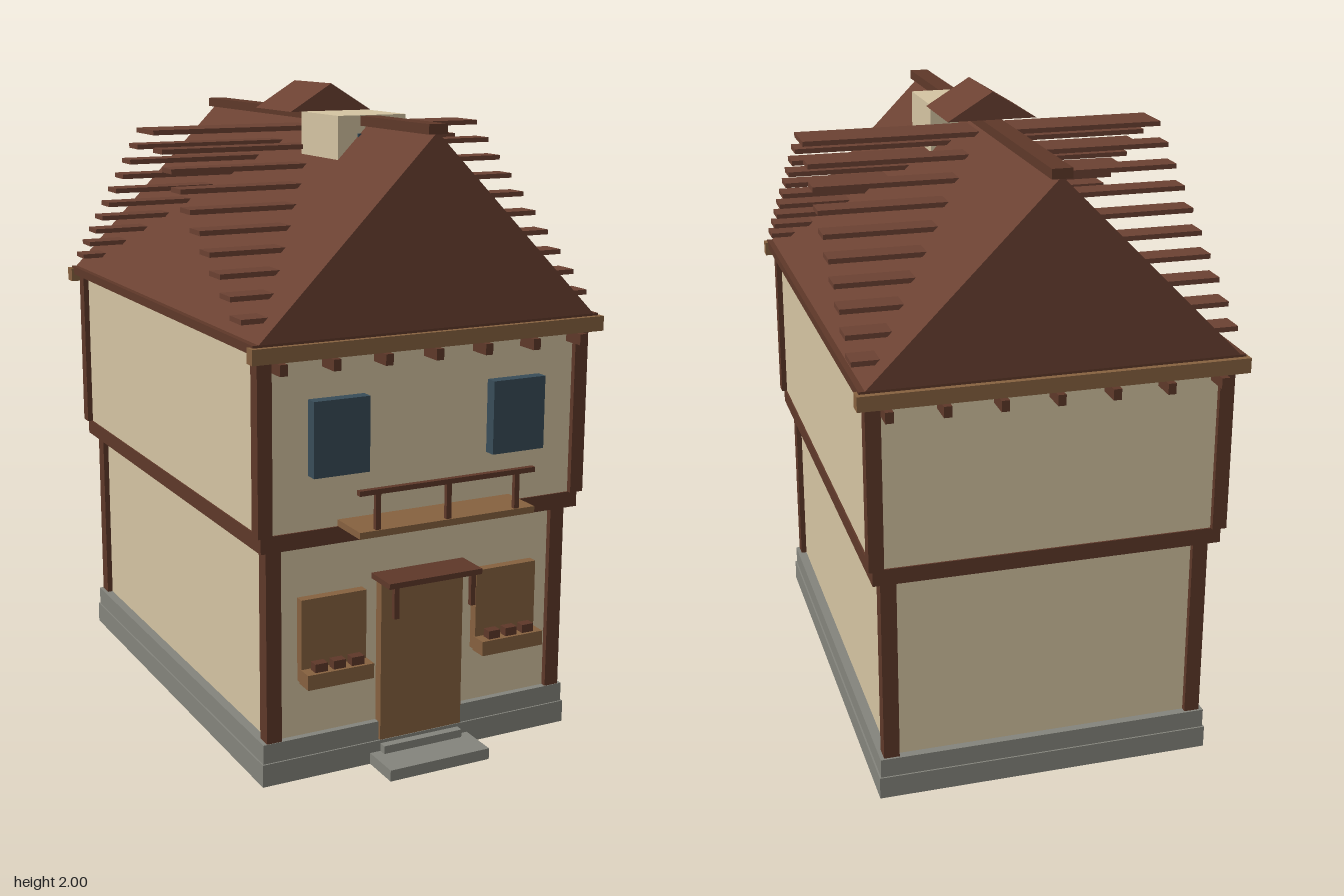
import * as THREE from 'three';

const mat = (name, color) => {
  const m = new THREE.MeshStandardMaterial({ color });
  m.name = name;
  return m;
};

export function createModel() {
  const house = new THREE.Group();
  house.name = 'house';
  const plaster = mat('plaster', 0xd4c4a2);
  const trim = mat('darkTimber', 0x5e3829);
  const roofMat = mat('roofTiles', 0x6b4132);
  const wood = mat('lightWood', 0x86613f);
  const stone = mat('stone', 0x84847c);
  const glass = mat('glass', 0x384c58);

  const add = (name, geometry, material) => {
    const mesh = new THREE.Mesh(geometry, material);
    mesh.name = name;
    house.add(mesh);
    return mesh;
  };
  // box given by its limits on each axis
  const box = (name, material, x0, x1, y0, y1, z0, z1) => {
    const mesh = add(name, new THREE.BoxGeometry(x1 - x0, y1 - y0, z1 - z0), material);
    mesh.position.set((x0 + x1) / 2, (y0 + y1) / 2, (z0 + z1) / 2);
    return mesh;
  };
  // gable prism running along z
  const prism = (name, material, half, y0, y1, z0, z1) => {
    const shape = new THREE.Shape([
      new THREE.Vector2(-half, y0), new THREE.Vector2(half, y0), new THREE.Vector2(0, y1)]);
    const geometry = new THREE.ExtrudeGeometry(shape, { depth: z1 - z0, bevelEnabled: false });
    add(name, geometry.translate(0, 0, z0), material);
  };

  // stone base and front steps
  box('foundation', stone, -0.525, 0.525, 0, 0.07, -0.78, 0.715);
  box('foundationTop', stone, -0.52, 0.52, 0.07, 0.13, -0.775, 0.71);
  box('lowerStep', stone, -0.17, 0.17, 0, 0.035, 0.7, 0.845);
  box('upperStep', stone, -0.135, 0.135, 0.035, 0.06, 0.7, 0.74);

  // two storeys with a beam band between them
  box('lowerWall', plaster, -0.49, 0.49, 0.13, 0.73, -0.75, 0.69);
  box('floorBand', trim, -0.535, 0.535, 0.725, 0.775, -0.795, 0.735);
  box('upperWall', plaster, -0.53, 0.53, 0.775, 1.31, -0.79, 0.73);

  // corner posts
  for (const s of [-1, 1]) {
    const post = (name, inner, outer, y0, y1, z0, z1) =>
      box(name, trim, Math.min(s * inner, s * outer), Math.max(s * inner, s * outer), y0, y1, z0, z1);
    post('lowerPost', 0.46, 0.508, 0.13, 0.725, 0.66, 0.708);
    post('lowerPost', 0.46, 0.508, 0.13, 0.725, -0.768, -0.718);
    post('upperPost', 0.503, 0.548, 0.775, 1.31, 0.703, 0.747);
    post('upperPost', 0.503, 0.548, 0.775, 1.31, -0.807, -0.763);
  }

  // eaves: dark plate, light end beams and joist ends
  box('eavePlate', trim, -0.568, 0.568, 1.308, 1.335, -0.83, 0.766);
  box('frontEaveBeam', wood, -0.577, 0.577, 1.283, 1.328, 0.745, 0.783);
  box('backEaveBeam', wood, -0.577, 0.577, 1.283, 1.328, -0.848, -0.805);
  for (let i = -3; i <= 3; i++) {
    const x = i * 0.164;
    box('frontJoist', trim, x - 0.012, x + 0.012, 1.25, 1.283, 0.725, 0.803);
    box('backJoist', trim, x - 0.012, x + 0.012, 1.25, 1.283, -0.868, -0.785);
  }

  // main roof and ridge
  prism('roof', roofMat, 0.55, 1.335, 1.892, -0.83, 0.766);
  box('ridgeBeam', trim, -0.03, 0.03, 1.885, 1.914, -0.832, 0.77);

  // stepped boards crossing the roof
  for (let k = 0; k < 10; k++) {
    const y = 1.388 + k * 0.0525;
    for (const s of [-1, 1]) {
      const z = -0.029 + s * (0.687 - k * 0.0725);
      box('roofBoard', roofMat, -0.572, 0.572, y - 0.0075, y + 0.0075, z - 0.039, z + 0.039);
    }
  }

  // dormer with its small gable and window
  box('dormer', plaster, -0.105, 0.125, 1.762, 1.916, 0.106, 0.358);
  box('dormerWindow', glass, -0.04, 0.065, 1.808, 1.862, 0.358, 0.367);
  prism('dormerRoof', roofMat, 0.14, 1.915, 2.0, -0.165, 0.103);

  // door, canopy and its brackets
  box('door', wood, -0.14, 0.14, 0.075, 0.585, 0.68, 0.722);
  box('doorCanopy', trim, -0.157, 0.157, 0.583, 0.6, 0.69, 0.803);

  // balcony
  box('balconyFloor', wood, -0.29, 0.29, 0.775, 0.795, 0.725, 0.87);
  box('balconyRail', trim, -0.29, 0.29, 0.9, 0.915, 0.85, 0.868);

  for (const x of [-0.23, 0, 0.23])
    box('balconyPost', trim, x - 0.008, x + 0.008, 0.795, 0.9, 0.852, 0.866);

  for (const s of [-1, 1]) {
    box('canopyBracket', trim, s * 0.13 - 0.008, s * 0.13 + 0.008, 0.487, 0.583, 0.784, 0.799);
    // upper windows
    box('upperWindow', glass, s * 0.295 - 0.089, s * 0.295 + 0.089, 0.937, 1.16, 0.725, 0.768);
    // shuttered windows with planters
    const cx = s * 0.295;
    box('shutter', wood, cx - 0.106, cx + 0.106, 0.305, 0.562, 0.68, 0.72);
    box('planter', wood, cx - 0.108, cx + 0.108, 0.302, 0.348, 0.71, 0.768);
    for (const d of [-0.06, 0, 0.06])
      box('plant', trim, cx + d - 0.02, cx + d + 0.02, 0.348, 0.374, 0.728, 0.758);
  }
  return house;
}
